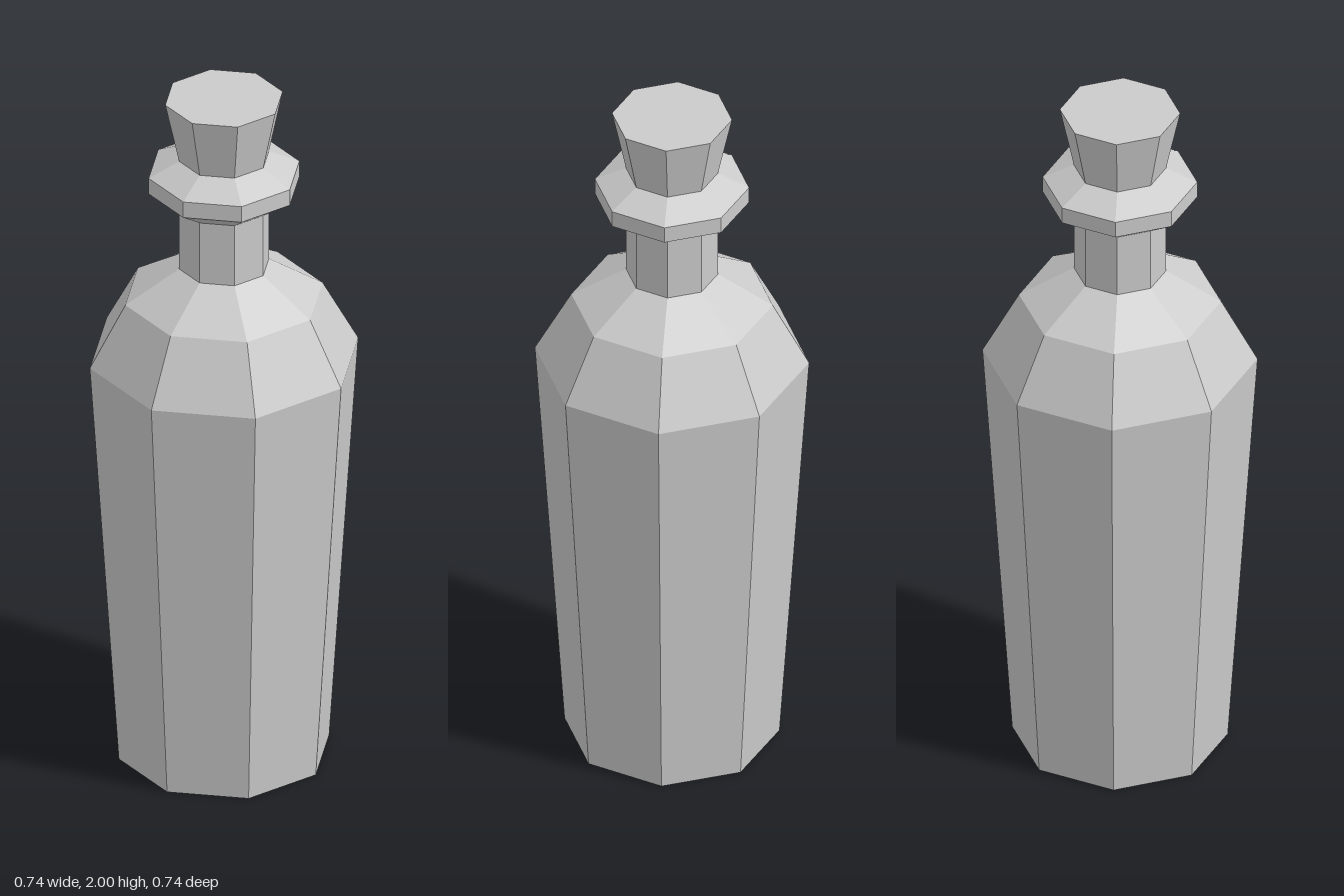
import * as THREE from 'three';

const SIDES = 8;

export function createModel() {
  const group = new THREE.Group();
  group.name = 'bottle';
  const material = new THREE.MeshStandardMaterial({ color: 0xcccccc, flatShading: true });

  // Turns a [radius, height] profile into a faceted part with corners on the axes
  const addTurned = (name, profile) => {
    const points = profile.map(([r, y]) => new THREE.Vector2(r, y));
    const mesh = new THREE.Mesh(new THREE.LatheGeometry(points, SIDES), material);
    mesh.name = name;
    group.add(mesh);
  };

  // Closed base, flaring body, two-step shoulder, straight neck and collar
  addTurned('bottleBody', [
    [0, 0], [0.29, 0], [0.37, 1.215], [0.272, 1.397], [0.124, 1.49],
    [0.124, 1.675], [0.208, 1.732], [0.208, 1.78], [0.124, 1.822],
  ]);

  // Tapered stopper, wider at the top
  addTurned('stopper', [[0, 1.822], [0.124, 1.822], [0.162, 2], [0, 2]]);

  return group;
}
